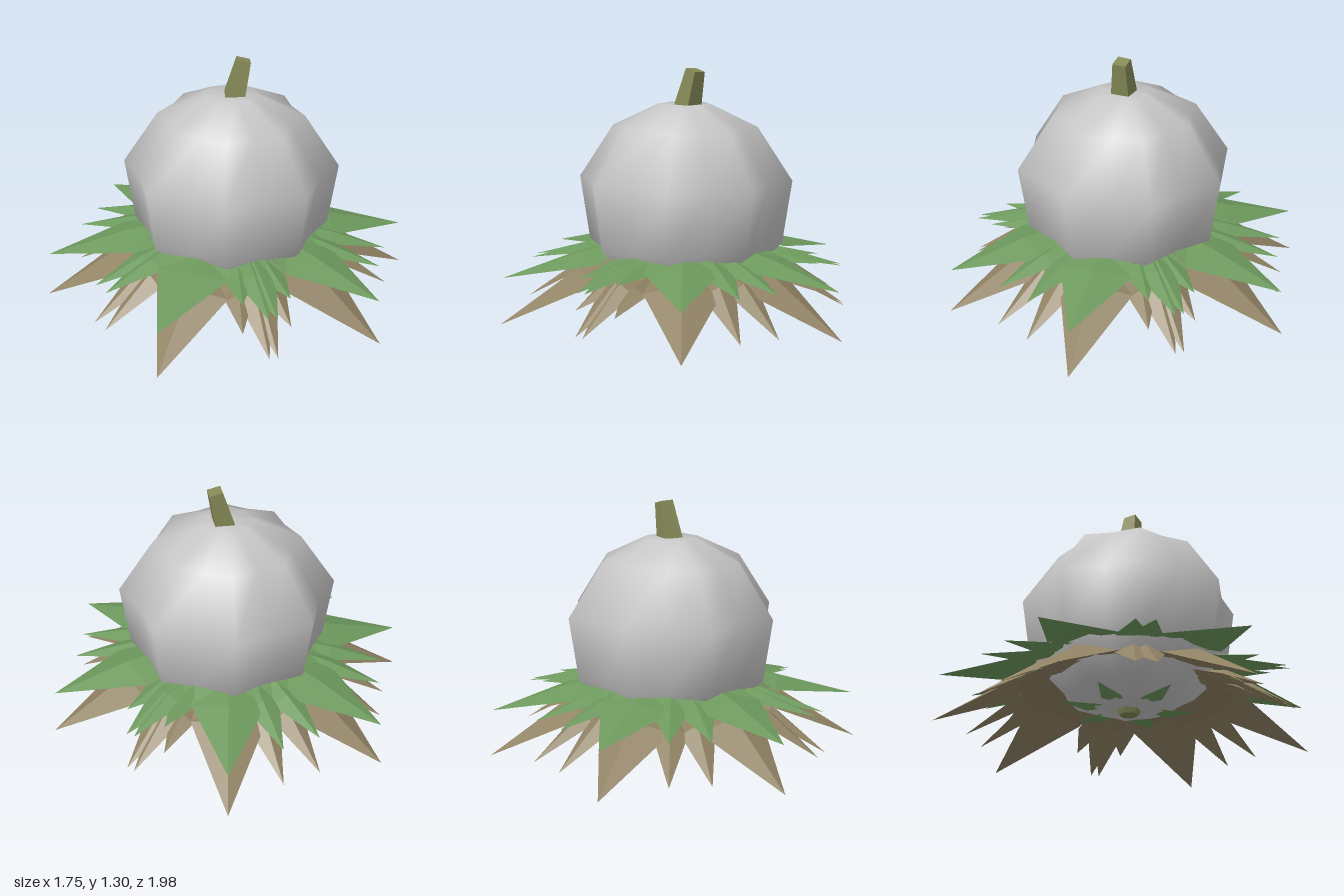
import * as THREE from 'three';

const DS = THREE.DoubleSide;
const mat = (name, color, opts = {}) => Object.assign(new THREE.MeshStandardMaterial({ color, ...opts }), { name });

// Point from polar angle (degrees, counter-clockwise seen from above)
const polar = (r, deg, y) => {
  const a = THREE.MathUtils.degToRad(deg);
  return [r * Math.cos(a), y, -r * Math.sin(a)];
};

// Ribbed gourd: rings of alternating ridge and valley points
function gourdGeometry() {
  const rings = [[0, 0.13], [0.16, 0.135], [0.34, 0.21], [0.52, 0.385], [0.57, 0.72], [0.385, 1.0], [0.14, 1.115], [0, 1.11]];
  const n = 16, pos = [], idx = [];
  for (const [r, y] of rings)
    for (let i = 0; i < n; i++) pos.push(...polar(i % 2 ? r * 0.88 : r, i * 360 / n, y));
  for (let k = 0; k < rings.length - 1; k++)
    for (let i = 0; i < n; i++) {
      const a = k * n + i, b = k * n + (i + 1) % n, c = a + n, d = b + n;
      if (k > 0) idx.push(a, b, d);
      if (k < rings.length - 2) idx.push(a, d, c);
    }
  const g = new THREE.BufferGeometry();
  g.setAttribute('position', new THREE.Float32BufferAttribute(pos, 3));
  g.setIndex(idx);
  g.computeVertexNormals();
  return g;
}

// Pointed, folded lobes: root, raised ridge, two lower shoulders and a tip
function lobesGeometry(lobes) {
  const pos = [];
  for (const { a, half, root, ridge, edge, tip } of lobes) {
    const R = polar(root[0], a, root[1]), M = polar(ridge[0], a, ridge[1]), T = polar(tip[0], a, tip[1]);
    const S = polar(edge[0], a - half, edge[1]), L = polar(edge[0], a + half, edge[1]);
    const RS = polar(root[0], a - half, root[1]), RL = polar(root[0], a + half, root[1]);
    for (const tri of [[M, S, T], [M, T, L], [R, RS, S], [R, S, M], [R, M, L], [R, L, RL]])
      for (const p of tri) pos.push(...p);
  }
  const g = new THREE.BufferGeometry();
  g.setAttribute('position', new THREE.Float32BufferAttribute(pos, 3));
  g.computeVertexNormals();
  return g;
}

// Each leaf: middle direction, then offsets of its two side lobes
const leaves = [[93.5, 19.5, 20], [40.5, 19, 34], [-29.5, 33, 19], [-81.5, 19, 34], [-152.5, 34, 27], [147, 27, 20]];

// One tier of leaves, given the heights of its sections
function leafTier(s, root, ridgeY, edgeY, tipY, sideTipY) {
  const lobes = [];
  for (const [a, left, right] of leaves) {
    lobes.push({ a, half: 20, root, ridge: [0.58 * s, ridgeY], edge: [0.57 * s, edgeY], tip: [0.995 * s, tipY] });
    for (const off of [left, -right]) {
      lobes.push({
        a: a + off, half: 9, root: [root[0], root[1] - 0.012],
        ridge: [0.56 * s, ridgeY - 0.015], edge: [0.57 * s, edgeY - 0.012], tip: [0.86 * s, sideTipY],
      });
      // Small tooth in the wider gaps
      if (Math.abs(off) > 30) lobes.push({
        a: a + off * 0.76, half: 7, root: [root[0], root[1] - 0.02],
        ridge: [0.55 * s, ridgeY - 0.025], edge: [0.56 * s, edgeY - 0.02], tip: [0.75 * s, (sideTipY + edgeY) / 2],
      });
    }
  }
  return lobesGeometry(lobes);
}

export function createModel() {
  const group = new THREE.Group();
  const grey = mat('gourd grey', 0xc6c6c6);
  const green = mat('leaf green', 0x6d995d, { side: DS, flatShading: true });
  const brown = mat('dry leaf brown', 0x908264, { side: DS, flatShading: true });
  const olive = mat('stem olive', 0x868a57, { flatShading: true });
  const add = (name, geo, m) => {
    const mesh = new THREE.Mesh(geo, m);
    mesh.name = name;
    group.add(mesh);
    return mesh;
  };

  add('gourd', gourdGeometry(), grey).position.set(0.008, 0, 0.004);

  // Two tiers of leaves
  add('greenLeaves', leafTier(0.98, [0.4, 0.385], 0.36, 0.325, 0.25, 0.262), green);
  add('dryLeaves', leafTier(1, [0.36, 0.3], 0.275, 0.225, 0.004, 0.045), brown);

  // Leaf stalks gathered beneath the gourd
  add('leafStalks', lobesGeometry(leaves.map(([a]) => ({
    a, half: 14, root: [0.12, 0.145], ridge: [0.24, 0.15], edge: [0.22, 0.135], tip: [0.36, 0.16],
  }))), green);

  // Leaning square stem
  const from = new THREE.Vector3(0.022, 1.09, 0.01), to = new THREE.Vector3(0.068, 1.295, 0.033);
  const dir = to.clone().sub(from);
  const stemGeo = new THREE.CylinderGeometry(0.05, 0.073, dir.length(), 4);
  stemGeo.rotateY(0.12);
  const stem = add('stem', stemGeo, olive);
  stem.position.copy(from).add(to).multiplyScalar(0.5);
  stem.quaternion.setFromUnitVectors(new THREE.Vector3(0, 1, 0), dir.normalize());

  // Stub under the gourd
  add('stemStub', new THREE.CylinderGeometry(0.07, 0.05, 0.04, 6), olive).position.y = 0.125;

  return group;
}
